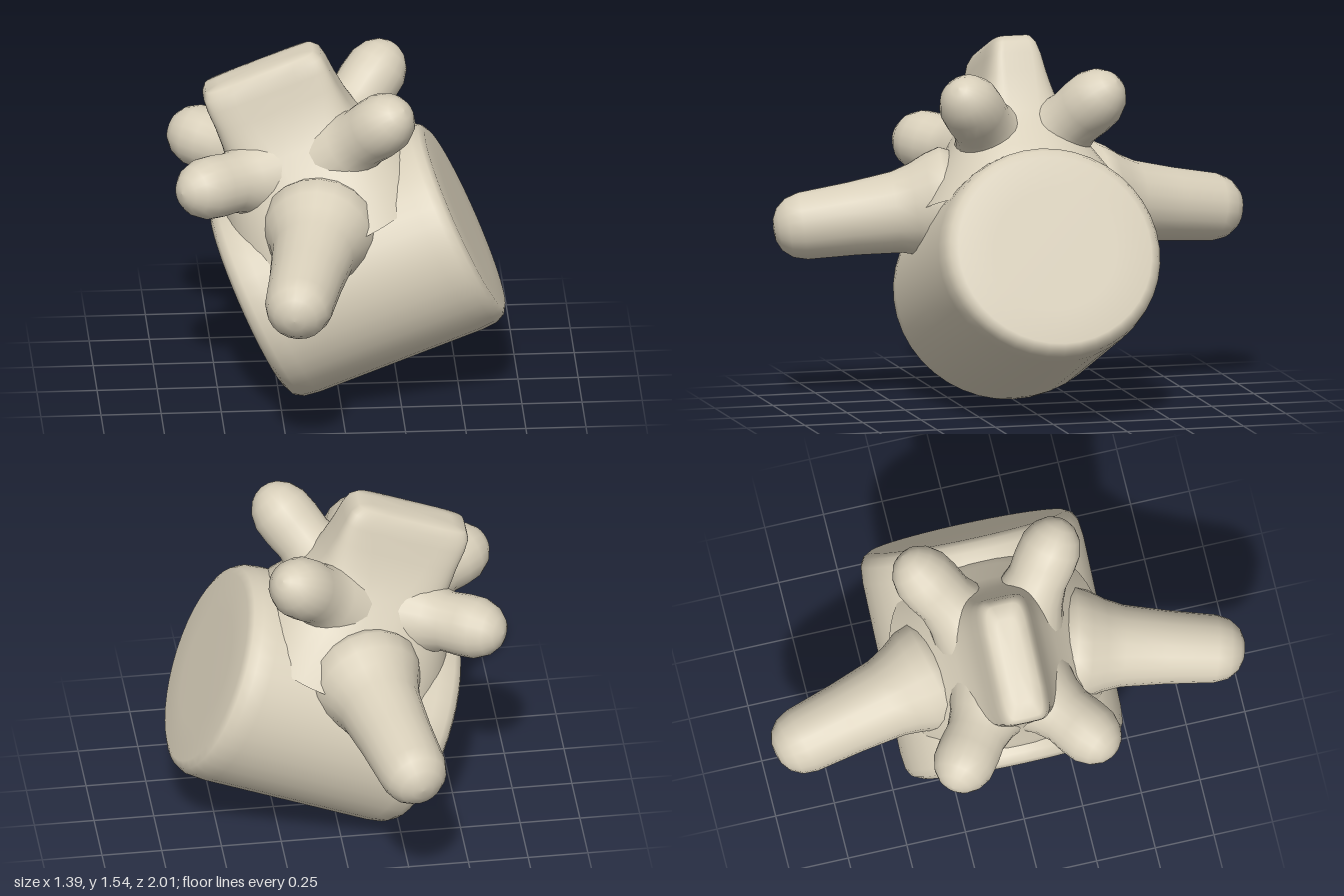
import * as THREE from 'three';

const vec = (x, y, z) => new THREE.Vector3(x, y, z);
const clay = new THREE.MeshStandardMaterial({ color: 0xd8cfba });
clay.name = 'clay';

// Tilted frame shared by the barrel and the head
const U = vec(0.855, 0.333, 0).normalize();
const V = vec(-0.413, 0.911, 0).normalize();
const Z = vec(0, 0, 1);

// Skins superellipse sections; each section is [centre, radius on a, radius on b, power]
function loft(name, sections, a, b, sides) {
  const pos = [], index = [];
  const bend = (c, p) => Math.sign(c) * Math.pow(Math.abs(c), 2 / p);
  for (const [centre, ra, rb, p = 2] of sections) {
    for (let j = 0; j < sides; j++) {
      const t = (j / sides) * Math.PI * 2;
      const q = centre.clone()
        .addScaledVector(a, ra * bend(Math.cos(t), p))
        .addScaledVector(b, rb * bend(Math.sin(t), p));
      pos.push(q.x, q.y, q.z);
    }
  }
  for (let i = 0; i < sections.length - 1; i++) {
    for (let j = 0; j < sides; j++) {
      const k = (j + 1) % sides;
      const p = i * sides + j, q = i * sides + k, r = q + sides, s = p + sides;
      index.push(p, q, r, p, r, s);
    }
  }
  const geo = new THREE.BufferGeometry();
  geo.setAttribute('position', new THREE.Float32BufferAttribute(pos, 3));
  geo.setIndex(index);
  geo.computeVertexNormals();
  const mesh = new THREE.Mesh(geo, clay);
  mesh.name = name;
  return mesh;
}

// Round limb from root to tip; stations are [fraction of the length, radius]
function limb(name, root, tip, stations) {
  const d = tip.clone().sub(root).normalize();
  const a = vec(0, 1, 0).cross(d).normalize();
  const b = d.clone().cross(a);
  const rings = stations.map(([f, r]) => [root.clone().lerp(tip, f), r, r]);
  return loft(name, rings, a, b, 20);
}

export function createModel() {
  const group = new THREE.Group();
  group.name = 'figure';

  // Barrel body with softened rims
  const mid = vec(0.083, 0.555, 0);
  const profile = [[-1, 0], [-1, 0.55], [-0.995, 0.87], [-0.96, 0.945], [-0.89, 0.985], [-0.75, 1],
    [0, 1], [0.75, 1], [0.89, 0.985], [0.96, 0.945], [0.995, 0.88], [1, 0.55], [1, 0]];
  group.add(loft('body',
    profile.map(([t, r]) => [mid.clone().addScaledVector(U, t * 0.482), r * 0.455, r * 0.47]), V, Z, 40));

  // Slab head flaring down into broad shoulders: [height, half depth, half width, power]
  const base = vec(-0.105, 0.95, 0);
  const slab = [[-0.16, 0.45, 0.44, 2.3], [-0.04, 0.385, 0.415, 2.3], [0.05, 0.325, 0.375, 2.3],
    [0.13, 0.265, 0.325, 2.5], [0.21, 0.21, 0.293, 3], [0.29, 0.165, 0.278, 4], [0.38, 0.135, 0.27, 5],
    [0.46, 0.115, 0.268, 6], [0.51, 0.1, 0.262, 6], [0.54, 0.08, 0.24, 6], [0.548, 0.045, 0.18, 6],
    [0.548, 0, 0]];
  group.add(loft('head',
    slab.map(([h, rz, ru, p]) => [base.clone().addScaledVector(V, h), rz, ru, p]), Z, U, 48));

  // Mirrored arms and knobs
  const armShape = [[0, 0], [0, 0.2], [0.12, 0.245], [0.2, 0.225], [0.28, 0.195], [0.375, 0.172],
    [0.6, 0.154], [0.85, 0.142], [0.92, 0.125], [0.97, 0.09], [0.995, 0.045], [1, 0]];
  const knobShape = [[0, 0.22], [0.2, 0.18], [0.36, 0.142], [0.5, 0.126], [0.64, 0.131],
    [0.78, 0.128], [0.89, 0.104], [0.96, 0.068], [0.99, 0.035], [1, 0]];
  for (const s of [1, -1]) {
    const side = s > 0 ? 'front' : 'back';
    group.add(limb(side + 'Arm', vec(-0.07, 0.845, s * 0.2), vec(-0.245, 0.73, s), armShape));
    group.add(limb(side + 'UpperKnob', vec(-0.06, 1.03, s * 0.06), vec(0.255, 1.38, s * 0.34), knobShape));
    group.add(limb(side + 'LowerKnob', vec(-0.25, 0.985, s * 0.05), vec(-0.67, 1.03, s * 0.345), knobShape));
  }
  return group;
}
